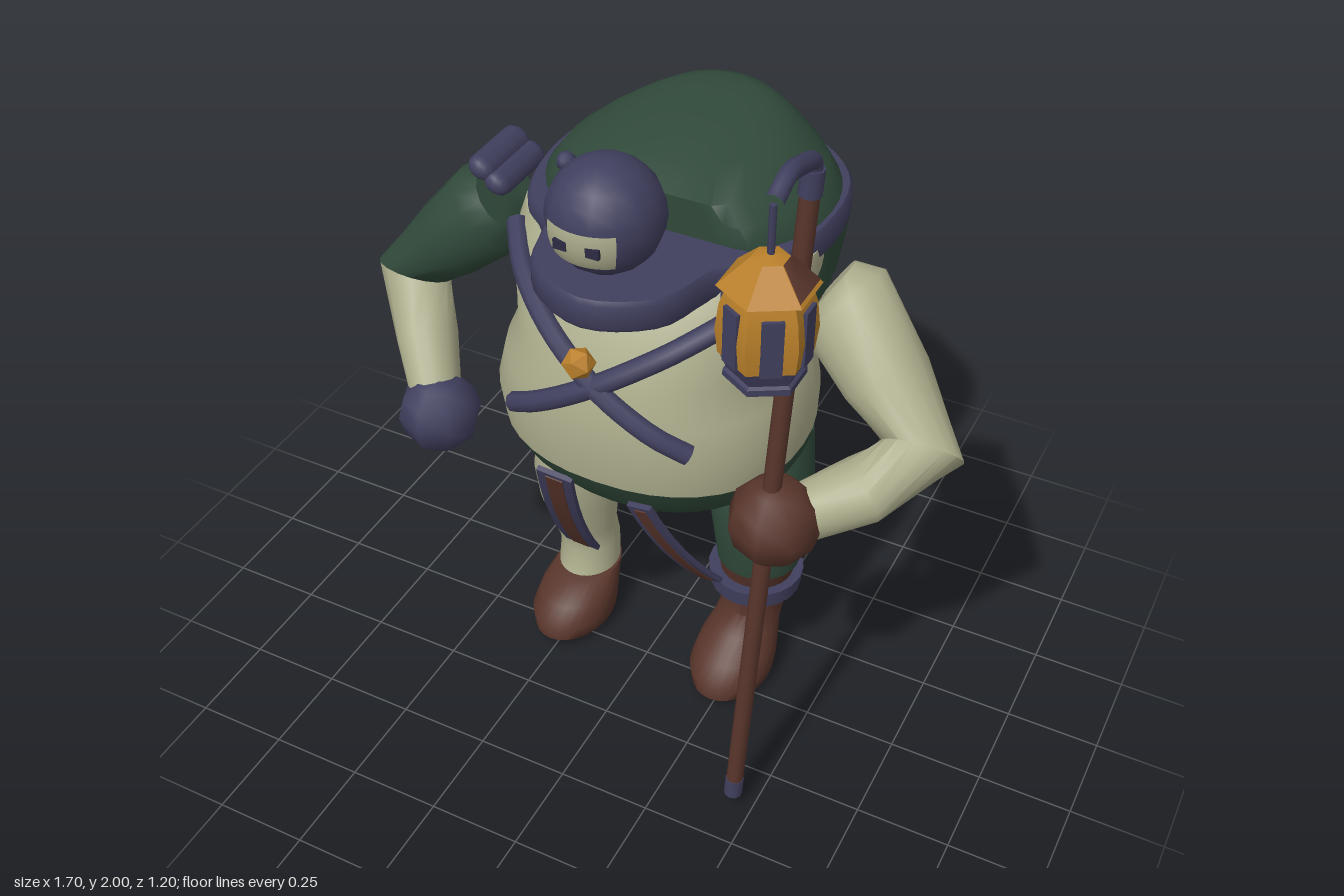
import * as THREE from 'three';
import { toCreasedNormals } from 'three/addons/utils/BufferGeometryUtils.js';

const V = (x, y, z) => new THREE.Vector3(x, y, z);
const mat = (name, color) => {
  const m = new THREE.MeshStandardMaterial({ color });
  m.name = name;
  return m;
};

// Skin a list of rings and close both ends
function loft(rings) {
  const n = rings[0].length, pos = [], idx = [];
  rings.forEach(r => r.forEach(p => pos.push(p.x, p.y, p.z)));
  for (let i = 0; i < rings.length - 1; i++)
    for (let j = 0; j < n; j++) {
      const a = i * n + j, b = i * n + (j + 1) % n;
      idx.push(a, b, b + n, a, b + n, a + n);
    }
  [0, rings.length - 1].forEach((i, end) => {
    const c = pos.length / 3;
    const m = rings[i].reduce((s, p) => s.add(p), V(0, 0, 0)).divideScalar(n);
    pos.push(m.x, m.y, m.z);
    for (let j = 0; j < n; j++) {
      const a = i * n + j, b = i * n + (j + 1) % n;
      if (end) idx.push(a, b, c); else idx.push(b, a, c);
    }
  });
  const g = new THREE.BufferGeometry();
  g.setAttribute('position', new THREE.Float32BufferAttribute(pos, 3));
  g.setIndex(idx);
  return toCreasedNormals(g, 0.9);
}

// Level rings from [y, centre x, half width, back z, front z], cut flat at zMax
const level = (rows, e = 2, n = 28, zMax = 1) => loft(rows.map(([y, xc, w, zb, zf]) =>
  Array.from({ length: n }, (_, j) => {
    const t = j / n * Math.PI * 2, s = Math.sin(t), c = Math.cos(t);
    const f = v => Math.sign(v) * Math.abs(v) ** (2 / e);
    return V(xc + w * f(s), y, Math.min(zMax, (zb + zf) / 2 + (zf - zb) / 2 * f(c)));
  })));

// Rings square to a path of [x, y, z, radius], cut flat at |x| = inner
function limbRings(pts, inner, n = 16) {
  const p = pts.map(q => V(q[0], q[1], q[2]));
  return p.map((c, i) => {
    const T = V(0, 0, 0);
    if (i > 0) T.add(c.clone().sub(p[i - 1]).normalize());
    if (i < p.length - 1) T.add(p[i + 1].clone().sub(c).normalize());
    T.normalize();
    const u = T.clone().cross(V(0, 0, 1)).normalize(), w = u.clone().cross(T);
    return Array.from({ length: n }, (_, j) => {
      const t = j / n * Math.PI * 2;
      const q = c.clone().addScaledVector(w, pts[i][3] * Math.cos(t)).addScaledVector(u, pts[i][3] * Math.sin(t));
      q.x = Math.sign(q.x) * Math.max(inner, Math.abs(q.x));
      return q;
    });
  });
}

const BODY_E = 2.25;
const BODY = [
  [0.745, 0, 0.335, -0.47, 0.2], [0.81, 0, 0.385, -0.475, 0.25], [0.875, 0, 0.402, -0.45, 0.285],
  [0.98, 0, 0.41, -0.44, 0.3], [1.08, 0, 0.387, -0.44, 0.29], [1.17, 0, 0.348, -0.42, 0.27],
  [1.28, 0, 0.37, -0.4, 0.225], [1.36, 0, 0.388, -0.4, 0.17], [1.42, 0, 0.38, -0.4, 0.12]];

// Front surface of the body at x, y
function bodyFront(x, y) {
  const i = Math.max(1, BODY.findIndex(r => r[0] >= y));
  const [a, b] = [BODY[i - 1], BODY[i]], k = (y - a[0]) / (b[0] - a[0]);
  const [, , w, zb, zf] = a.map((v, j) => v + (b[j] - v) * k);
  return (zb + zf) / 2 + (zf - zb) / 2 * Math.max(0, 1 - Math.abs(x / w) ** BODY_E) ** (1 / BODY_E);
}

export function createModel() {
  const root = new THREE.Group();
  const cream = mat('cream cloth', 0xacac8c), green = mat('dark green cloth', 0x30493a);
  const purple = mat('dusky purple', 0x403f5e), brown = mat('brown leather', 0x58352b);
  const gold = mat('gold', 0xb87f2a), dark = mat('dark eyes', 0x2b2a42);
  const add = (name, geo, m, x = 0, y = 0, z = 0) => {
    const o = new THREE.Mesh(geo, m);
    o.name = name;
    o.position.set(x, y, z);
    root.add(o);
    return o;
  };
  const tube = (pts, r) => new THREE.TubeGeometry(new THREE.CatmullRomCurve3(pts), 20, r, 8);
  const rod = (name, a, b, r, m) => {
    const o = add(name, new THREE.CylinderGeometry(r, r, a.distanceTo(b), 10), m);
    o.position.copy(a).lerp(b, 0.5);
    o.quaternion.setFromUnitVectors(V(0, 1, 0), b.clone().sub(a).normalize());
  };

  // Torso and hump
  add('skirt', level(BODY.slice(0, 3), BODY_E, 40), green);
  add('belly', level(BODY.slice(2), BODY_E, 40), cream);
  add('hump', level([
    [1.125, 0, 0.33, -0.445, -0.03], [1.15, 0, 0.345, -0.465, -0.01], [1.25, 0, 0.366, -0.55, -0.03],
    [1.36, 0, 0.38, -0.588, -0.02], [1.42, 0, 0.382, -0.592, 0.07], [1.47, 0, 0.368, -0.59, 0.09],
    [1.52, 0, 0.33, -0.58, 0.09], [1.565, 0, 0.275, -0.56, 0.06], [1.6, 0, 0.21, -0.535, -0.08],
    [1.625, 0, 0.145, -0.51, -0.22], [1.642, 0, 0.07, -0.47, -0.35]], 2.1, 40, 0), green);

  // Collar running round the hump to a point in front
  const half = [[0.17, 0.26], [0.235, 0.09], [0.33, 0], [0.386, -0.2], [0.357, -0.42], [0.215, -0.56]];
  const outline = [[0, 0.345], ...half, [0, -0.602], ...half.map(([x, z]) => [-x, z]).reverse()];
  const ring = new THREE.CatmullRomCurve3(outline.map(([x, z]) => V(x, z, 0)), true).getPoints(60);
  const collar = new THREE.ExtrudeGeometry(
    new THREE.Shape(ring.slice(0, -1).map(p => new THREE.Vector2(p.x, -p.y))),
    { depth: 0.06, bevelThickness: 0.012, bevelSize: 0.008, bevelOffset: -0.008, bevelSegments: 1 });
  collar.rotateX(-Math.PI / 2);
  add('collar', toCreasedNormals(collar, 0.7), purple, 0, 1.393, 0);
  add('collarTab', new THREE.BoxGeometry(0.09, 0.02, 0.035), brown, -0.105, 1.47, 0.125);

  // Head, face plate and eyes
  add('head', new THREE.SphereGeometry(0.142, 14, 12), purple, -0.008, 1.605, 0.19);
  add('facePlate', new THREE.SphereGeometry(0.145, 12, 4, Math.PI / 2 - 0.65, 1.3, 1.4, 0.67),
    cream, -0.008, 1.605, 0.19);
  for (const x of [-0.05, 0.032])
    add('eye', new THREE.BoxGeometry(0.034, 0.025, 0.009), dark, x, 1.588, 0.328);
  add('headBolt', new THREE.SphereGeometry(0.024, 8, 6), purple, -0.122, 1.695, 0.165);

  // Crossed chest straps and brooch
  for (const [x0, y0, x1, y1] of [[-0.35, 1.385, 0.24, 1.03], [0.31, 1.37, -0.24, 1.02]]) {
    const pts = Array.from({ length: 9 }, (_, i) => {
      const x = x0 + (x1 - x0) * i / 8, y = y0 + (y1 - y0) * i / 8;
      return V(x, y, bodyFront(x, y) + 0.016);
    });
    add('chestStrap', tube(pts, 0.027), purple);
  }
  add('brooch', new THREE.IcosahedronGeometry(0.042, 0), gold, -0.03, 1.24, 0.295);

  // Hanging belts, bent slightly outward, with a stripe on the front face
  for (const [x0, y0, x1, y1, z1, w] of [[-0.13, 0.83, -0.19, 0.37, 0.02, 0.098], [0.11, 0.82, 0.23, 0.47, 0.08, 0.072]]) {
    const a = V(x0, y0, 0.26), b = V(x1, y1, z1), d = a.clone().sub(b);
    const Y = d.clone().normalize(), Z = V(1, 0, 0).cross(Y).normalize(), X = Y.clone().cross(Z);
    for (const [name, m, bw, t, out] of [['hangingBelt', purple, w, 0.014, 0], ['beltStripe', brown, w * 0.48, 0.006, 0.007]]) {
      const g = new THREE.BoxGeometry(bw, d.length() * (out ? 0.95 : 1), t, 1, 6, 1), p = g.attributes.position;
      for (let i = 0; i < p.count; i++)
        p.setZ(i, p.getZ(i) + out + 0.02 * (1 - (2 * p.getY(i) / d.length()) ** 2));
      g.applyMatrix4(new THREE.Matrix4().makeBasis(X, Y, Z));
      g.computeVertexNormals();
      add(name, g, m).position.copy(a).lerp(b, 0.5);
    }
  }

  // Legs and feet
  const foot = x => [[0, x, 0.085, -0.19, 0.06], [0.025, x, 0.108, -0.205, 0.1], [0.065, x, 0.114, -0.205, 0.1],
    [0.11, x, 0.106, -0.22, 0.05], [0.15, x, 0.09, -0.25, -0.03]];
  add('rightFoot', level(foot(-0.262)), brown);
  add('rightLeg', level([[0.145, -0.265, 0.086, -0.25, -0.05], [0.22, -0.272, 0.084, -0.26, -0.08],
    [0.3, -0.28, 0.092, -0.24, -0.06], [0.41, -0.285, 0.112, -0.25, -0.02], [0.52, -0.29, 0.122, -0.3, 0],
    [0.63, -0.286, 0.117, -0.33, -0.01], [0.72, -0.275, 0.098, -0.34, -0.05], [0.8, -0.265, 0.088, -0.33, -0.07]]), cream);
  add('leftBoot', level([...foot(0.246), [0.2, 0.252, 0.086, -0.262, -0.075],
    [0.3, 0.262, 0.092, -0.24, -0.06], [0.41, 0.277, 0.11, -0.23, -0.02]]), brown);
  add('leftLeg', level([[0.41, 0.277, 0.113, -0.235, -0.018], [0.48, 0.275, 0.125, -0.28, -0.005],
    [0.56, 0.268, 0.134, -0.315, 0], [0.65, 0.252, 0.14, -0.34, -0.01], [0.8, 0.235, 0.138, -0.35, -0.06]]), green);
  add('bootCuff', new THREE.CylinderGeometry(0.131, 0.126, 0.05, 20), purple, 0.266, 0.33, -0.14);

  // Arms and hands
  const right = limbRings([[-0.455, 1.355, -0.11, 0.1], [-0.495, 1.315, -0.11, 0.13], [-0.63, 1.18, -0.11, 0.112],
    [-0.755, 1.045, -0.095, 0.1], [-0.66, 0.92, 0.01, 0.083], [-0.585, 0.81, 0.1, 0.068]], 0.41);
  add('rightUpperArm', loft(right.slice(0, 4)), green);
  add('rightForearm', loft(right.slice(3)), cream);
  add('rightHand', new THREE.SphereGeometry(0.113, 8, 6), purple, -0.57, 0.765, 0.11);
  add('leftArm', loft(limbRings([[0.435, 1.355, -0.1, 0.09], [0.475, 1.33, -0.1, 0.125], [0.62, 1.2, -0.03, 0.11],
    [0.75, 1.085, 0.05, 0.1], [0.65, 1.02, 0.17, 0.084], [0.54, 0.98, 0.27, 0.07]], 0.396)), cream);
  add('leftHand', new THREE.SphereGeometry(0.114, 8, 6), brown, 0.492, 0.978, 0.315);

  // Pair of wraps on the right shoulder
  for (const [x, y] of [[-0.475, 1.476], [-0.432, 1.445]]) {
    const wrap = add('shoulderWrap', new THREE.CapsuleGeometry(0.03, 0.16, 4, 10), purple, x, y, -0.11);
    wrap.rotation.set(Math.PI / 2, -0.5, 0);
    wrap.scale.x = 1.3;
  }

  // Staff with crook
  const foot0 = V(0.445, 0.04, 0.375), top = V(0.52, 1.92, 0.285);
  const along = t => foot0.clone().lerp(top, t);
  rod('staff', along(0.02), along(0.98), 0.022, brown);
  rod('staffTip', along(0), along(0.03), 0.024, purple);
  rod('staffCollar', along(0.967), along(1), 0.026, purple);
  add('crook', tube([V(0.52, 1.905, 0.285), V(0.521, 1.938, 0.29), V(0.522, 1.962, 0.345), V(0.522, 1.979, 0.42),
    V(0.522, 1.953, 0.485)], 0.021), purple);

  // Hanging lantern
  const lantern = new THREE.Group();
  lantern.name = 'lantern';
  lantern.position.set(0.522, 0, 0.49);
  root.add(lantern);
  const part = (name, geo, m, y = 0) => {
    const o = add(name, geo, m, 0, y, 0);
    lantern.add(o);
    return o;
  };
  const lathe = pts => toCreasedNormals(
    new THREE.LatheGeometry(pts.map(p => new THREE.Vector2(...p)), 6), 0.4);
  part('lanternHook', new THREE.CylinderGeometry(0.008, 0.008, 0.12, 6), purple, 1.89);
  part('lanternGlass', lathe([[0, 1.6], [0.1, 1.6], [0.107, 1.66], [0.1, 1.72], [0.085, 1.765], [0, 1.765]]), gold);
  part('lanternBase', lathe([[0, 1.54], [0.088, 1.54], [0.088, 1.555], [0.08, 1.56], [0.101, 1.61], [0, 1.61]]), purple);
  part('lanternRoof', lathe([[0, 1.755], [0.085, 1.755], [0.108, 1.765], [0.04, 1.83], [0, 1.84]]), gold);
  part('roofPanel', new THREE.CylinderGeometry(0.042, 0.102, 0.06, 1, 1, true, Math.PI / 3, Math.PI / 3), brown, 1.803);
  for (let k = 0; k < 6; k++) {
    const a = (k + 0.5) * Math.PI / 3;
    const bar = part('lanternBar', new THREE.BoxGeometry(0.046, 0.135, 0.009), purple, 1.667);
    bar.position.x = 0.09 * Math.sin(a);
    bar.position.z = 0.09 * Math.cos(a);
    bar.rotation.y = a;
  }
  return root;
}
